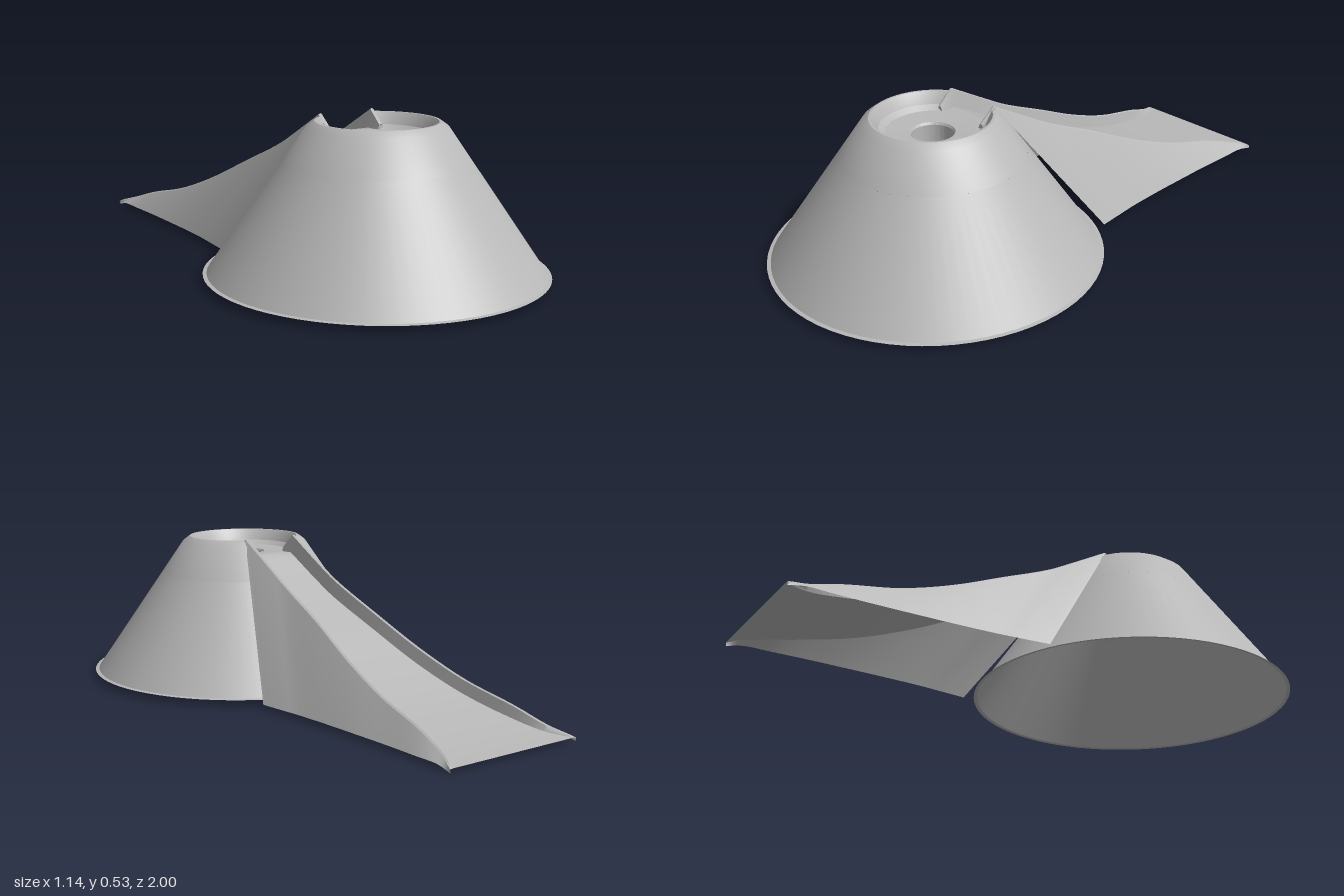
import * as THREE from 'three';
import { toCreasedNormals } from 'three/addons/utils/BufferGeometryUtils.js';

const grey = new THREE.MeshStandardMaterial({ color: 0xb8b8b8, side: THREE.DoubleSide });
grey.name = 'plain grey';
const SAMPLES = 40;
const CONE_Z = 0.425;

function addMesh(parent, name, geometry, crease = 0.45) {
  const mesh = new THREE.Mesh(toCreasedNormals(geometry, crease), grey);
  mesh.name = name;
  parent.add(mesh);
  return mesh;
}

// Surface through rows of points, all rows having the same count
function loft(rows) {
  const n = rows[0].length;
  const index = [];
  for (let i = 0; i < rows.length - 1; i++) {
    for (let j = 0; j < n - 1; j++) {
      const a = i * n + j, b = a + n;
      index.push(a, a + 1, b, b, a + 1, b + 1);
    }
  }
  const geometry = new THREE.BufferGeometry().setFromPoints(rows.flat());
  geometry.setIndex(index);
  return geometry;
}

// Revolved surface, optionally with a parallel-sided notch on the back
function revolve(profile, notch = 0, segments = 72) {
  const points = profile.map(([r, y]) => new THREE.Vector2(r, y));
  const geometry = new THREE.LatheGeometry(points, segments);
  if (notch) {
    const pos = geometry.attributes.position;
    for (let i = 0; i < pos.count; i++) {
      const k = i % points.length;
      const u = Math.floor(i / points.length) / segments;
      const r = points[k].x;
      const gap = Math.asin(notch / r);
      const phi = Math.PI + gap + u * (Math.PI - gap) * 2;
      pos.setXYZ(i, r * Math.sin(phi), points[k].y, r * Math.cos(phi));
    }
  }
  return geometry;
}

const smooth = (points) =>
  new THREE.CatmullRomCurve3(points.map((p) => new THREE.Vector3(...p))).getPoints(SAMPLES);

const shift = (points, dx, dy = 0) =>
  points.map((p) => new THREE.Vector3(p.x + dx, p.y + dy, p.z));

const mirror = (points) => points.map((p) => new THREE.Vector3(-p.x, p.y, p.z));

export function createModel() {
  const model = new THREE.Group();
  model.name = 'coneWithRamp';

  // Cone: open shell, notched crown, shallow dish with a cup
  const cone = new THREE.Group();
  cone.name = 'cone';
  cone.position.z = CONE_Z;
  model.add(cone);
  addMesh(cone, 'coneShell', revolve([[0.57, 0.02], [0.557, 0.022], [0.31, 0.383]]));
  addMesh(cone, 'coneCrown', revolve([
    [0.31, 0.383], [0.23, 0.5], [0.205, 0.518], [0.197, 0.518],
    [0.185, 0.5], [0.175, 0.478], [0.155, 0.463],
  ], 0.1));
  addMesh(cone, 'dishAndCup', revolve([
    [0.155, 0.463], [0.075, 0.458], [0.07, 0.45], [0.07, 0.33], [0.0001, 0.33],
  ]));

  // Ramp stations: z, curb top, curb height, half width, skirt foot half width
  const stations = [
    [0.25, 0.525, 0.063, 0.099, 0.285],
    [0.1, 0.44, 0.058, 0.1, 0.274],
    [0, 0.385, 0.054, 0.103, 0.267],
    [-0.2, 0.295, 0.05, 0.119, 0.26],
    [-0.4, 0.202, 0.047, 0.145, 0.257],
    [-0.6, 0.127, 0.042, 0.171, 0.255],
    [-0.8, 0.077, 0.036, 0.196, 0.257],
    [-0.92, 0.038, 0.016, 0.217, 0.259],
    [-1, 0.013, 0, 0.25, 0.262],
  ];
  const top = smooth(stations.map(([z, t, , w]) => [w, t, z]));
  const base = smooth(stations.map(([z, t, h, w]) => [w - (h > 0 ? 0.008 : 0), t - h, z]));
  const foot = smooth(stations.map(([z, , , , b], i) =>
    [b, i === stations.length - 1 ? 0 : 0.012, -0.11 - 0.89 * (0.25 - z) / 1.25]));

  // Pointed curb ends reaching into the dish
  const topIn = [new THREE.Vector3(0.097, 0.478, 0.305), ...top];
  const baseIn = [new THREE.Vector3(0.09, 0.461, 0.305), ...base];
  const ridge = shift(topIn, 0.006, 0.003);
  const outer = shift(topIn, 0.013, -0.001);
  ridge[ridge.length - 1].y = outer[outer.length - 1].y = 0.012;

  const ramp = new THREE.Group();
  ramp.name = 'ramp';
  model.add(ramp);
  addMesh(ramp, 'rampFloor', loft([mirror(baseIn), baseIn]), 0.6);

  // Curbs and side skirts, mirrored
  for (const [side, place] of [['left', (p) => p], ['right', mirror]]) {
    const rows = (...list) => {
      const placed = list.map(place);
      return loft(side === 'left' ? placed : placed.reverse());
    };
    addMesh(ramp, side + 'Curb', rows(baseIn, topIn, ridge, outer), 0.6);
    addMesh(ramp, side + 'Skirt', rows(outer.slice(1), foot), 0.6);
    const innerEnd = [baseIn[0], topIn[0]];
    const outerEnd = [new THREE.Vector3(0.11, 0.461, 0.305), outer[0]];
    addMesh(ramp, side + 'CurbEnd', rows(innerEnd, outerEnd));
    // Outer face of the curb inside the dish
    addMesh(ramp, side + 'CurbTip', rows(
      [outer[0], outer[1]],
      [outerEnd[0], new THREE.Vector3(0.112, 0.461, 0.25)],
    ));
  }
  return model;
}
